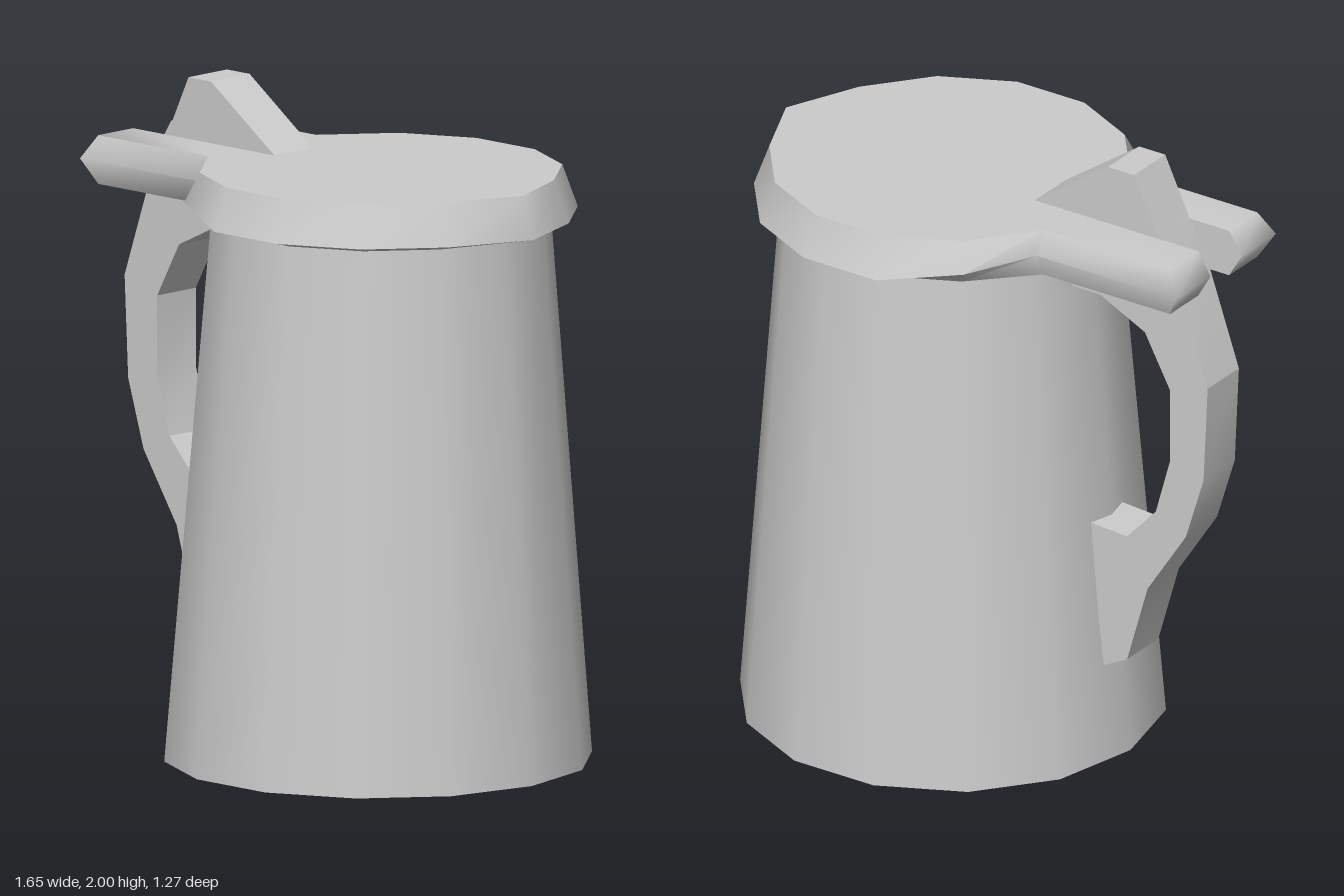
import * as THREE from 'three';
import { toCreasedNormals } from 'three/addons/utils/BufferGeometryUtils.js';

const SIDES = 14;
const material = new THREE.MeshStandardMaterial({ color: 0xcccccc });

function addMesh(group, name, geometry) {
  const mesh = new THREE.Mesh(geometry, material);
  mesh.name = name;
  group.add(mesh);
}

// Tapered body with its top set slightly towards +x
function makeBody() {
  const geo = new THREE.CylinderGeometry(0.516, 0.65, 1.67, SIDES).rotateY(Math.PI / 2).translate(0.17, 0.835, 0);
  const pos = geo.attributes.position;
  for (let i = 0; i < pos.count; i++) {
    if (pos.getY(i) > 1) pos.setX(i, pos.getX(i) + 0.012);
  }
  return geo;
}

// One outline of the lid: round plate with a pouring tip at +x and a forked tab at -x
function lidRing({ radius, tip, y, tabY, tabZ, endX }) {
  const half = [[tip, y, 0]];
  for (let i = 1; i <= 5; i++) {
    const a = (i / SIDES) * Math.PI * 2;
    const lift = i === 5 ? 0.7 : 0;
    half.push([0.182 + radius * Math.cos(a), y + (tabY - y) * lift, radius * Math.sin(a)]);
  }
  half.push([-0.32, tabY, tabZ], [endX, tabY, tabZ], [endX, tabY, 0.082], [-0.5, tabY, 0.082]);
  const mirrored = half.slice(1).reverse().map(([px, py, pz]) => [px, py, -pz]);
  return [...half, ...mirrored];
}

function makeLid() {
  const rings = [
    lidRing({ radius: 0.525, tip: 0.7, y: 1.66, tabY: 1.66, tabZ: 0.232, endX: -0.785 }),
    lidRing({ radius: 0.598, tip: 0.825, y: 1.68, tabY: 1.737, tabZ: 0.265, endX: -0.83 }),
    lidRing({ radius: 0.551, tip: 0.782, y: 1.81, tabY: 1.81, tabZ: 0.232, endX: -0.785 }),
  ];
  const n = rings[0].length;
  const index = [];
  // Side walls
  for (let r = 0; r < 2; r++) {
    for (let k = 0; k < n; k++) {
      const a = r * n + k;
      const b = r * n + ((k + 1) % n);
      index.push(a, a + n, b, b, a + n, b + n);
    }
  }
  // Underside and top
  for (const r of [0, 2]) {
    const flat = rings[r].map(([x, , z]) => new THREE.Vector2(x, z));
    for (const [i, j, k] of THREE.ShapeUtils.triangulateShape(flat, [])) {
      const facesDown = THREE.ShapeUtils.area([flat[i], flat[j], flat[k]]) > 0;
      const keep = facesDown === (r === 0);
      index.push(r * n + i, r * n + (keep ? j : k), r * n + (keep ? k : j));
    }
  }
  const geo = new THREE.BufferGeometry();
  geo.setAttribute('position', new THREE.Float32BufferAttribute(rings.flat(2), 3));
  geo.setIndex(index);
  return toCreasedNormals(geo, 1.1);
}

// Handle and thumb lever, cut from one flat profile
function makeHandle() {
  const profile = [
    [-0.55, 2], [-0.64, 1.81], [-0.715, 1.66], [-0.82, 1.355], [-0.805, 1.04], [-0.74, 0.83],
    [-0.6, 0.615], [-0.525, 0.355], [-0.44, 0.31], [-0.38, 0.78], [-0.525, 0.77],
    [-0.63, 0.885], [-0.682, 1.07], [-0.682, 1.31], [-0.59, 1.48], [-0.425, 1.56],
    [-0.3, 1.56], [-0.3, 1.7], [-0.18, 1.805], [-0.455, 2],
  ].map(([x, y]) => new THREE.Vector2(x, y));
  const geo = new THREE.ExtrudeGeometry(new THREE.Shape(profile), { depth: 0.166, bevelEnabled: false });
  geo.translate(0, 0, -0.083);
  return toCreasedNormals(geo, 0.35);
}

export function createModel() {
  const group = new THREE.Group();
  group.name = 'tankard';
  addMesh(group, 'body', makeBody());
  addMesh(group, 'lid', makeLid());
  addMesh(group, 'handle', makeHandle());
  return group;
}
